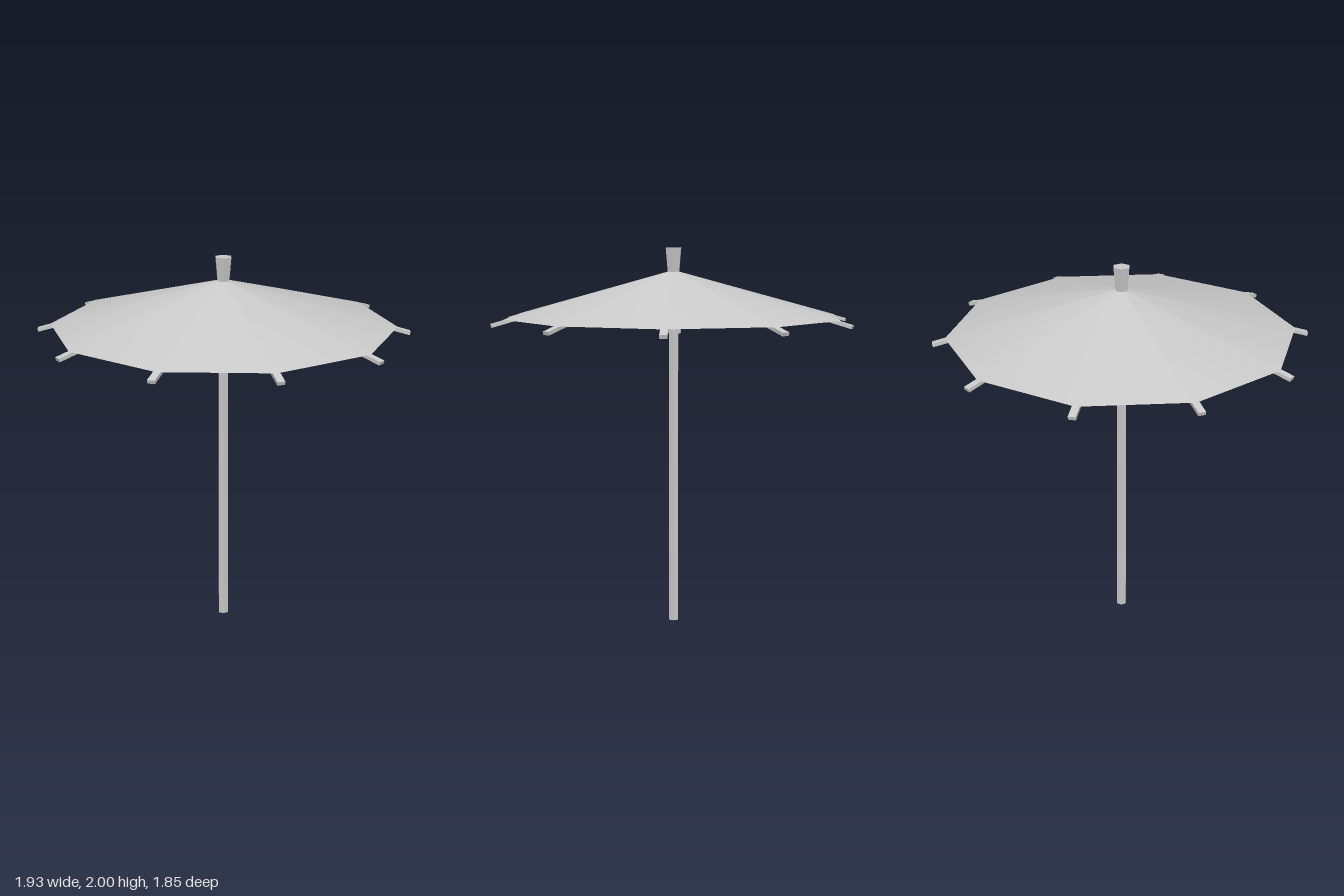
import * as THREE from 'three';

const SIDES = 10;

export function createModel() {
  const model = new THREE.Group();
  model.name = 'parasol';
  const flat = new THREE.MeshStandardMaterial({ color: 0xcccccc, flatShading: true });
  const cloth = new THREE.MeshStandardMaterial({ color: 0xcccccc, side: THREE.DoubleSide });

  const add = (parent, name, geometry, material = flat) => {
    const mesh = new THREE.Mesh(geometry, material);
    mesh.name = name;
    parent.add(mesh);
    return mesh;
  };

  // Hexagonal prism between two heights, corners on the x axis
  const hexPrism = (name, rTop, rBottom, y0, y1) => {
    const g = new THREE.CylinderGeometry(rTop, rBottom, y1 - y0, 6, 1, false, Math.PI / 2);
    add(model, name, g.translate(0, (y0 + y1) / 2, 0));
  };
  hexPrism('pole', 0.028, 0.028, 0, 1.89);
  hexPrism('collar', 0.043, 0.043, 1.555, 1.61);
  hexPrism('finial', 0.046, 0.034, 1.87, 2);

  // Ten-sided canopy, open underneath
  const canopy = new THREE.ConeGeometry(0.9, 0.245, SIDES, 1, true, Math.PI / 2);
  add(model, 'canopy', canopy.translate(0, 1.7625, 0), cloth);

  // Bar in the xy plane between two centre-line points
  const bar = (x0, y0, x1, y1, height, width) => {
    const g = new THREE.BoxGeometry(Math.hypot(x1 - x0, y1 - y0), height, width);
    g.rotateZ(Math.atan2(y1 - y0, x1 - x0));
    return g.translate((x0 + x1) / 2, (y0 + y1) / 2, 0);
  };
  const ribGeometry = bar(0.01, 1.869, 0.963, 1.61, 0.018, 0.038);
  const strutGeometry = bar(0.03, 1.605, 0.4, 1.756, 0.018, 0.022);

  // A rib and its supporting strut under every canopy corner
  for (let i = 0; i < SIDES; i++) {
    const arm = new THREE.Group();
    arm.name = 'arm' + (i + 1);
    arm.rotation.y = (i * 2 * Math.PI) / SIDES;
    add(arm, 'rib', ribGeometry);
    add(arm, 'strut', strutGeometry);
    model.add(arm);
  }
  return model;
}
